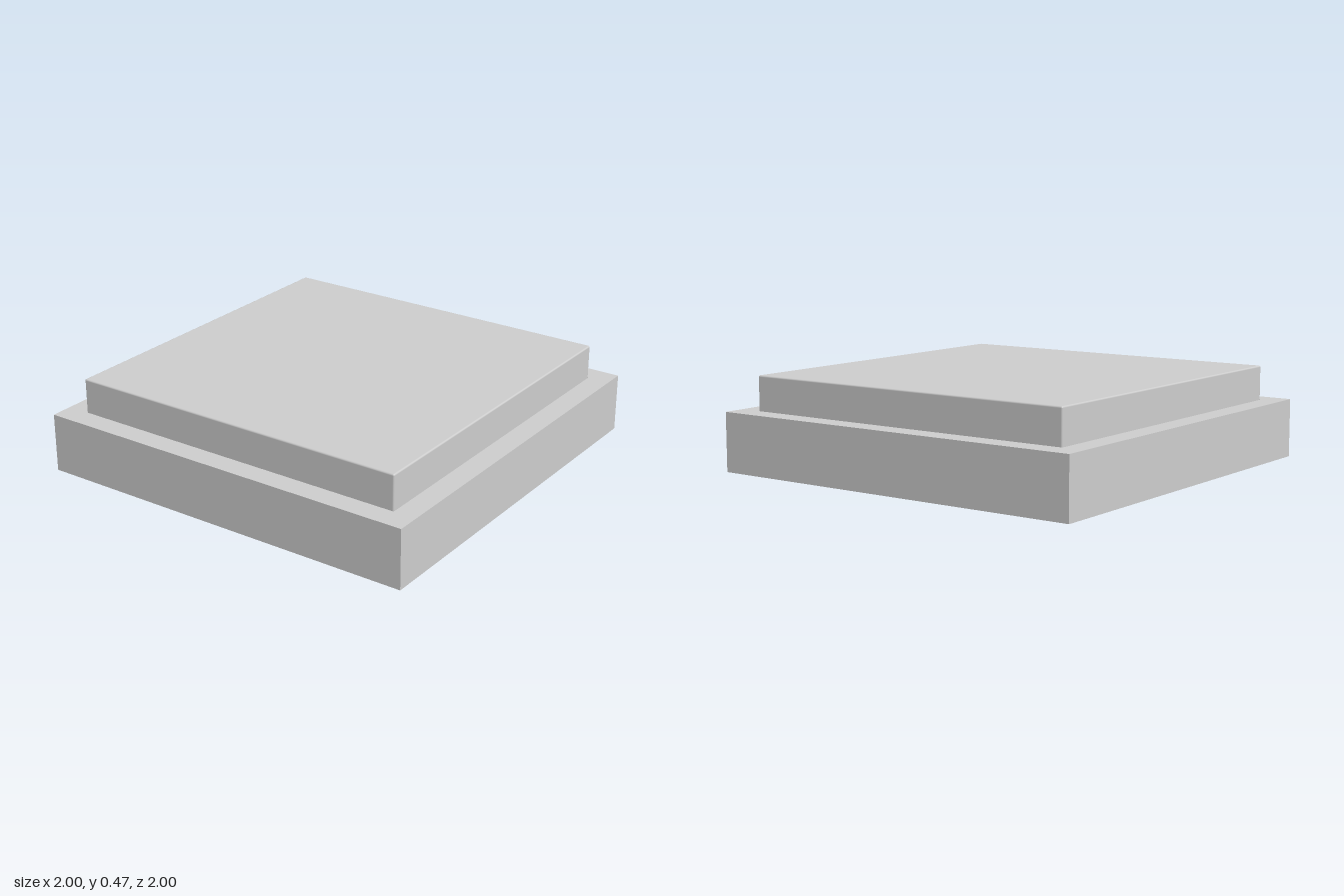
import * as THREE from 'three';
import { RoundedBoxGeometry } from 'three/addons/geometries/RoundedBoxGeometry.js';

const FRAME_HALF = 1, FRAME_HEIGHT = 0.295;
const BLOCK_HALF = 0.888, BLOCK_HEIGHT = 0.47, EDGE = 0.008;

// Adds a centred square outline to a shape or hole path
function square(path, h) {
  return path.moveTo(-h, -h).lineTo(h, -h).lineTo(h, h).lineTo(-h, h).closePath();
}

export function createModel() {
  const model = new THREE.Group();
  model.name = 'squareButton';
  const material = new THREE.MeshStandardMaterial({ color: 0xcccccc });

  // Square surround, open through the middle
  const outline = square(new THREE.Shape(), FRAME_HALF);
  outline.holes.push(square(new THREE.Path(), BLOCK_HALF));
  const frameGeometry = new THREE.ExtrudeGeometry(outline, { depth: FRAME_HEIGHT, bevelEnabled: false });
  frameGeometry.rotateX(-Math.PI / 2);
  const frame = new THREE.Mesh(frameGeometry, material);
  frame.name = 'frame';

  // Raised block with finely eased edges, flush with the underside
  const block = new THREE.Mesh(
    new RoundedBoxGeometry(BLOCK_HALF * 2, BLOCK_HEIGHT, BLOCK_HALF * 2, 2, EDGE),
    material
  );
  block.position.y = BLOCK_HEIGHT / 2;
  block.name = 'raisedBlock';

  model.add(frame, block);
  return model;
}
